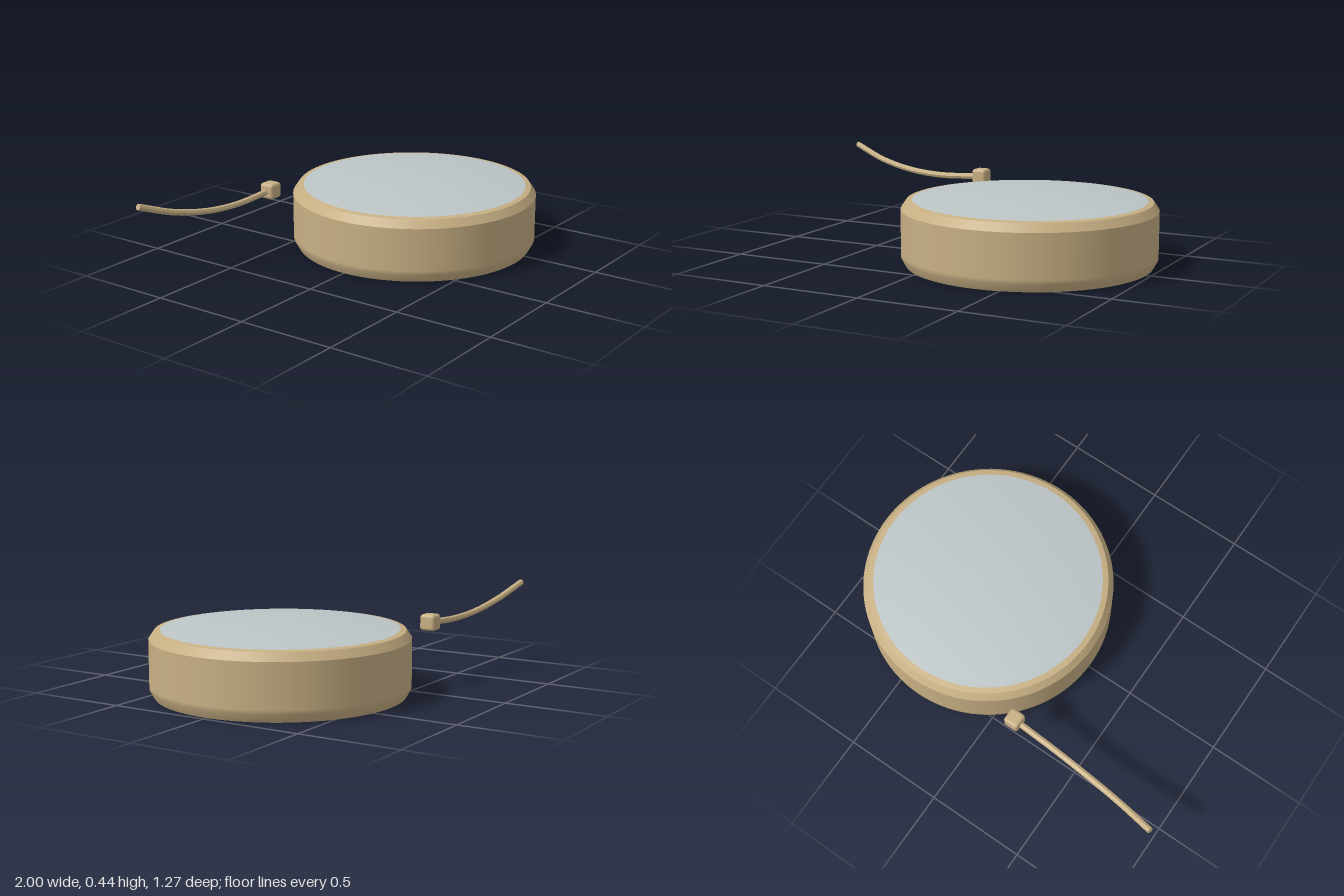
import * as THREE from 'three';
import { RoundedBoxGeometry } from 'three/addons/geometries/RoundedBoxGeometry.js';

export function createModel() {
  const model = new THREE.Group();
  const tan = new THREE.MeshStandardMaterial({ color: 0xc8b084 });
  tan.name = 'tan';
  const tanFlat = tan.clone();
  tanFlat.flatShading = true;
  const grey = new THREE.MeshStandardMaterial({ color: 0xbcc5c6 });
  grey.name = 'paleGrey';

  const add = (name, geometry, material, x = 0, y = 0, z = 0) => {
    const mesh = new THREE.Mesh(geometry, material);
    mesh.name = name;
    mesh.position.set(x, y, z);
    model.add(mesh);
    return mesh;
  };
  // Each round band is its own lathe, so the edges between bands stay sharp
  const lathe = (name, profile, material) => add(name,
    new THREE.LatheGeometry(profile.map(([r, y]) => new THREE.Vector2(r, y)), 96),
    material, 0.372, 0, 0.007);

  // Round body
  lathe('base', [[0, 0], [0.605, 0]], tan);
  lathe('wall', [[0.605, 0], [0.627, 0.04], [0.627, 0.06], [0.627, 0.275]], tan);
  lathe('bevel', [[0.627, 0.275], [0.6, 0.314]], tan);
  lathe('rim', [[0.6, 0.314], [0.572, 0.319]], tan);

  // Shallow domed top
  const dome = [];
  for (let i = 0; i <= 12; i++) {
    const r = 0.572 * (1 - i / 12);
    dome.push([r, 0.355 - 0.036 * (r / 0.572) ** 2]);
  }
  lathe('domedTop', dome, grey);

  // Small connector block behind the body
  add('connector', new RoundedBoxGeometry(0.08, 0.08, 0.08, 2, 0.016), tan, -0.157, 0.317, -0.518);

  // Curved cord
  const path = new THREE.CatmullRomCurve3([
    [-0.16, 0.316, -0.518], [-0.4, 0.303, -0.529], [-0.6, 0.315, -0.548],
    [-0.8, 0.355, -0.578], [-0.994, 0.423, -0.622],
  ].map((p) => new THREE.Vector3(...p)));
  const radius = 0.016;
  add('cord', new THREE.TubeGeometry(path, 24, radius, 8), tanFlat);

  // Closed tip of the cord
  const end = path.getPoint(1);
  const tip = add('cordTip', new THREE.CircleGeometry(radius, 8), tan, end.x, end.y, end.z);
  tip.lookAt(end.clone().add(path.getTangent(1)));

  return model;
}
